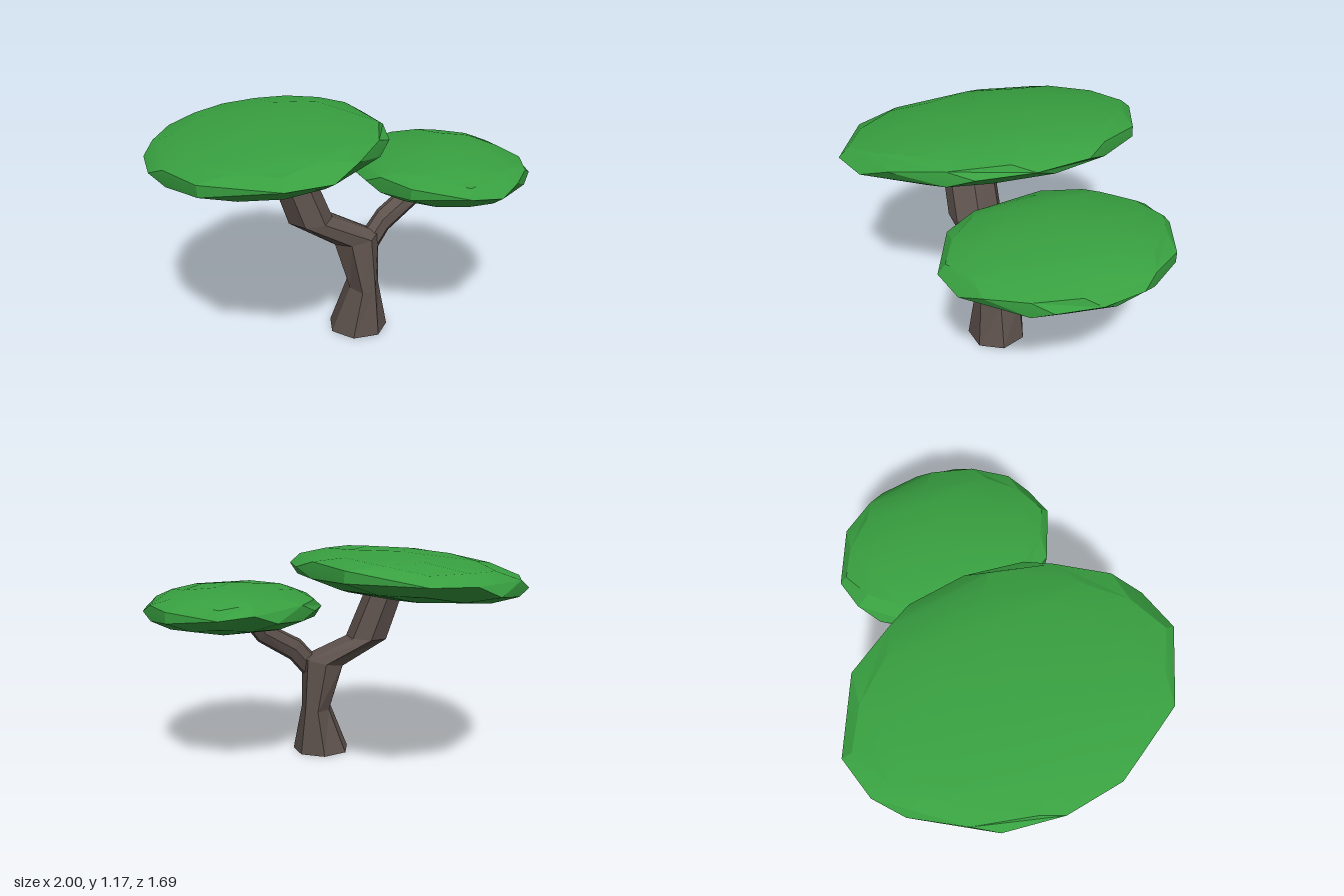
import * as THREE from 'three';
import { toCreasedNormals } from 'three/addons/utils/BufferGeometryUtils.js';

const SIDES = 7;
const PHASE = 5.1 * Math.PI / 180;

// Faceted limb through rings: [x, y, z, axisX, axisY, halfDepth]
function limb(name, rings, material) {
  const pos = [], idx = [];
  for (const [x, y, z, ux, uy, rz] of rings) {
    for (let j = 0; j < SIDES; j++) {
      const a = PHASE + (j / SIDES) * Math.PI * 2;
      pos.push(x + ux * Math.cos(a), y + uy * Math.cos(a), z + rz * Math.sin(a));
    }
  }
  const last = (rings.length - 1) * SIDES;
  for (let i = 0; i < last; i += SIDES) {
    for (let j = 0; j < SIDES; j++) {
      const k = (j + 1) % SIDES;
      const a = i + j, b = i + k, c = a + SIDES, d = b + SIDES;
      idx.push(a, c, b, b, c, d);
    }
  }
  // End caps
  for (let j = 1; j < SIDES - 1; j++) {
    idx.push(0, j, j + 1, last, last + j + 1, last + j);
  }
  const indexed = new THREE.BufferGeometry();
  indexed.setAttribute('position', new THREE.Float32BufferAttribute(pos, 3));
  indexed.setIndex(idx);
  const geo = indexed.toNonIndexed();
  geo.computeVertexNormals();
  const mesh = new THREE.Mesh(geo, material);
  mesh.name = name;
  return mesh;
}

// Flattened, subdivided dodecahedron of leaves
function canopy(name, size, position, yaw, tilt, material) {
  const geo = new THREE.DodecahedronGeometry(1, 1);
  geo.scale(...size);
  const mesh = new THREE.Mesh(toCreasedNormals(geo, 0.35), material);
  mesh.name = name;
  mesh.position.set(...position);
  mesh.rotation.set(0, yaw, tilt);
  return mesh;
}

export function createModel() {
  const tree = new THREE.Group();
  tree.name = 'tree';
  const bark = new THREE.MeshStandardMaterial({ color: 0x5e524d, flatShading: true });
  const leaves = new THREE.MeshStandardMaterial({ color: 0x38a040 });

  // Trunk bending into the large limb
  tree.add(limb('trunk', [
    [0.07, 0, 0.16, 0.16, 0, 0.162],
    [0.097, 0.25, 0.158, 0.084, 0, 0.14],
    [0.055, 0.52, 0.15, 0.122, 0.022, 0.125],
    [-0.19, 0.652, 0.18, 0.118, 0.004, 0.15],
    [-0.305, 0.96, 0.18, 0.1, 0.02, 0.145],
  ], bark));

  // Smaller branch to the second canopy
  tree.add(limb('branch', [
    [0.135, 0.495, 0.15, 0.038, -0.052, 0.052],
    [0.212, 0.59, 0.11, 0.03, -0.058, 0.052],
    [0.37, 0.69, 0.04, 0.042, -0.045, 0.052],
    [0.44, 0.79, 0.0, 0.052, -0.03, 0.05],
  ], bark));

  tree.add(canopy('largeCanopy', [0.617, 0.13, 0.845], [-0.385, 1.025, 0], 0.015, 0.089, leaves));
  tree.add(canopy('smallCanopy', [0.466, 0.128, 0.587], [0.531, 0.847, 0], 0, 0, leaves));
  return tree;
}
